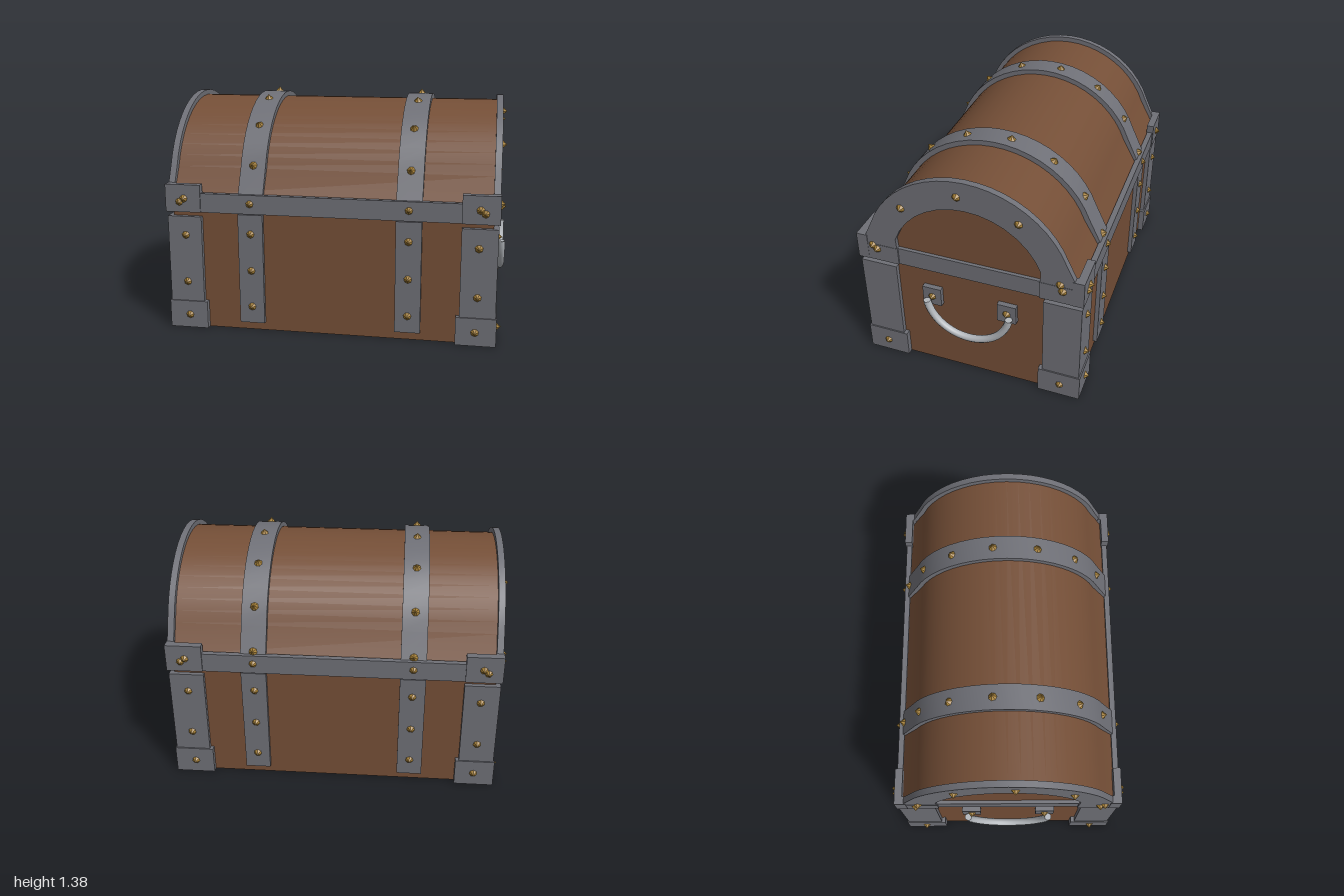
import * as THREE from 'three';
import { toCreasedNormals } from 'three/addons/utils/BufferGeometryUtils.js';

export function createModel() {
  const chest = new THREE.Group();
  chest.name = 'treasureChest';
  const mat = (name, color, extra) => {
    const m = new THREE.MeshStandardMaterial({ color });
    m.name = name;
    return Object.assign(m, extra);
  };
  const wood = mat('brown wood', 0x754f37);
  const iron = mat('grey iron', 0x6f7077);
  const brass = mat('brass', 0xa88238, { flatShading: true });
  const steel = mat('pale steel', 0xb2b6bb);

  const add = (name, geo, material) => {
    const m = new THREE.Mesh(geo, material);
    m.name = name;
    chest.add(m);
    return m;
  };
  // Box given by its two extreme corners
  const box = (name, material, x0, x1, y0, y1, z0, z1) => {
    const g = new THREE.BoxGeometry(Math.abs(x1 - x0), y1 - y0, Math.abs(z1 - z0));
    add(name, g, material).position.set((x0 + x1) / 2, (y0 + y1) / 2, (z0 + z1) / 2);
  };
  // Arched outline of the lid in (z, y), flaring out at its feet
  const archPoints = (r, cy, foot, footY, startDeg, n) => {
    const pts = [new THREE.Vector2(foot, footY)];
    const a0 = THREE.MathUtils.degToRad(startDeg);
    for (let i = 0; i <= n; i++) {
      const a = a0 + (Math.PI - 2 * a0) * i / n;
      pts.push(new THREE.Vector2(r * Math.cos(a), cy + r * Math.sin(a)));
    }
    pts.push(new THREE.Vector2(-foot, footY));
    return pts;
  };
  // Extrude an outline in (z, y) along x, centred on the given x
  const extrudeX = (name, pts, x, width, material) => {
    const g = new THREE.ExtrudeGeometry(new THREE.Shape(pts), { depth: width, bevelEnabled: false });
    g.translate(0, 0, -width / 2);
    g.rotateY(-Math.PI / 2);
    add(name, toCreasedNormals(g, 0.5), material).position.x = x;
  };
  // Pointed stud standing on a surface with the given outward direction
  const up = new THREE.Vector3(0, 1, 0);
  const studGeo = new THREE.ConeGeometry(0.027, 0.03, 7);
  studGeo.translate(0, 0.011, 0);
  const stud = (x, y, z, nx, ny, nz) => {
    const m = add('stud', studGeo, brass);
    m.position.set(x, y, z);
    m.quaternion.setFromUnitVectors(up, new THREE.Vector3(nx, ny, nz).normalize());
  };

  // Wooden body and lid
  box('body', wood, -0.925, 0.925, 0, 0.8, -0.63, 0.63);
  extrudeX('lid', archPoints(0.575, 0.75, 0.628, 0.795, 21, 20), 0, 1.86, wood);

  const outer = archPoints(0.605, 0.75, 0.645, 0.8, 21, 20);
  const inner = archPoints(0.45, 0.73, 0.418, 0.8, 20, 14);

  for (const sx of [-1, 1]) {
    // Arched iron edge on each end of the lid
    extrudeX('lidEndArch', [...outer, ...inner.slice().reverse()], sx * 0.937, 0.038, iron);
    for (const [z, y] of [[0.57, 0.81], [0.37, 1.11], [0.04, 1.26], [-0.3, 1.17], [-0.53, 0.83]]) {
      stud(sx * 0.957, y, z, sx, 0, 0);
    }
    box('sideRim', iron, sx * 0.91, sx * 0.95, 0.71, 0.82, -0.64, 0.64);

    // Strap over the lid with its row of studs
    const px = sx * 0.457;
    extrudeX('lidStrap', outer, px, 0.147, iron);
    for (let i = 0; i < 6; i++) {
      const a = THREE.MathUtils.degToRad(22 + 25.3 * i);
      stud(px, 0.75 + 0.605 * Math.sin(a), 0.605 * Math.cos(a), 0, Math.sin(a), Math.cos(a));
    }
    stud(px, 0.835, -0.63, 0, 0.45, -0.9);

    // Handle with its two mounting plates
    const ring = new THREE.TorusGeometry(0.25, 0.022, 10, 40, Math.PI - 0.28);
    ring.rotateZ(Math.PI + 0.14);
    ring.rotateY(Math.PI / 2);
    add('handle', ring, steel).position.set(sx * 0.978, 0.545, 0);
    for (const end of [[0.215, 1], [0.215, -1]]) {
      const z = end[0] * end[1];
      const cap = add('handleEnd', new THREE.CircleGeometry(0.022, 10), steel);
      cap.rotation.x = -Math.PI / 2;
      cap.position.set(sx * 0.978, 0.51, end[1] * 0.2475);
      box('handlePlate', iron, sx * 0.92, sx * 0.955, 0.465, 0.585, z - end[1] * 0.045, z + end[1] * 0.067);
      stud(sx * 0.955, 0.525, end[1] * 0.225, sx, 0, 0);
    }

    for (const sz of [-1, 1]) {
      // Strap down the front or back
      box('bodyStrap', iron, sx * 0.384, sx * 0.531, 0.05, 0.705, sz * 0.61, sz * 0.655);
      for (const y of [0.15, 0.37, 0.59]) stud(px, y, sz * 0.655, 0, 0, sz);
      stud(px, 0.77, sz * 0.657, 0, 0, sz);
      stud(sx * 0.877, 0.77, sz * 0.664, 0, 0, sz);

      // Corner irons: foot, post and rim cap, each an angled pair of plates
      const corner = (name, xIn, xOut, y0, y1, zIn, zOut) => {
        box(name, iron, sx * xIn, sx * xOut, y0, y1, sz * 0.62, sz * zOut);
        box(name, iron, sx * 0.915, sx * xOut, y0, y1, sz * zIn, sz * 0.62);
      };
      corner('cornerFoot', 0.73, 0.96, 0, 0.165, 0.415, 0.665);
      corner('cornerPost', 0.75, 0.953, 0.1, 0.682, 0.438, 0.657);
      corner('rimCap', 0.75, 0.96, 0.71, 0.872, 0.6, 0.665);
      box('rimCapSide', iron, sx * 0.915, sx * 0.958, 0.71, 0.82, sz * 0.415, sz * 0.61);
      stud(sx * 0.84, 0.08, sz * 0.665, 0, 0, sz);
      stud(sx * 0.96, 0.08, sz * 0.545, sx, 0, 0);
      for (const y of [0.285, 0.57]) stud(sx * 0.848, y, sz * 0.657, 0, 0, sz);
      stud(sx * 0.85, 0.79, sz * 0.665, 0, 0, sz);
      stud(sx * 0.96, 0.79, sz * 0.545, sx, 0, 0);
    }
  }

  // Long rims along front and back
  for (const sz of [-1, 1]) {
    box('longRim', iron, -0.95, 0.95, 0.71, 0.822, sz * 0.625, sz * 0.658);
  }
  return chest;
}
